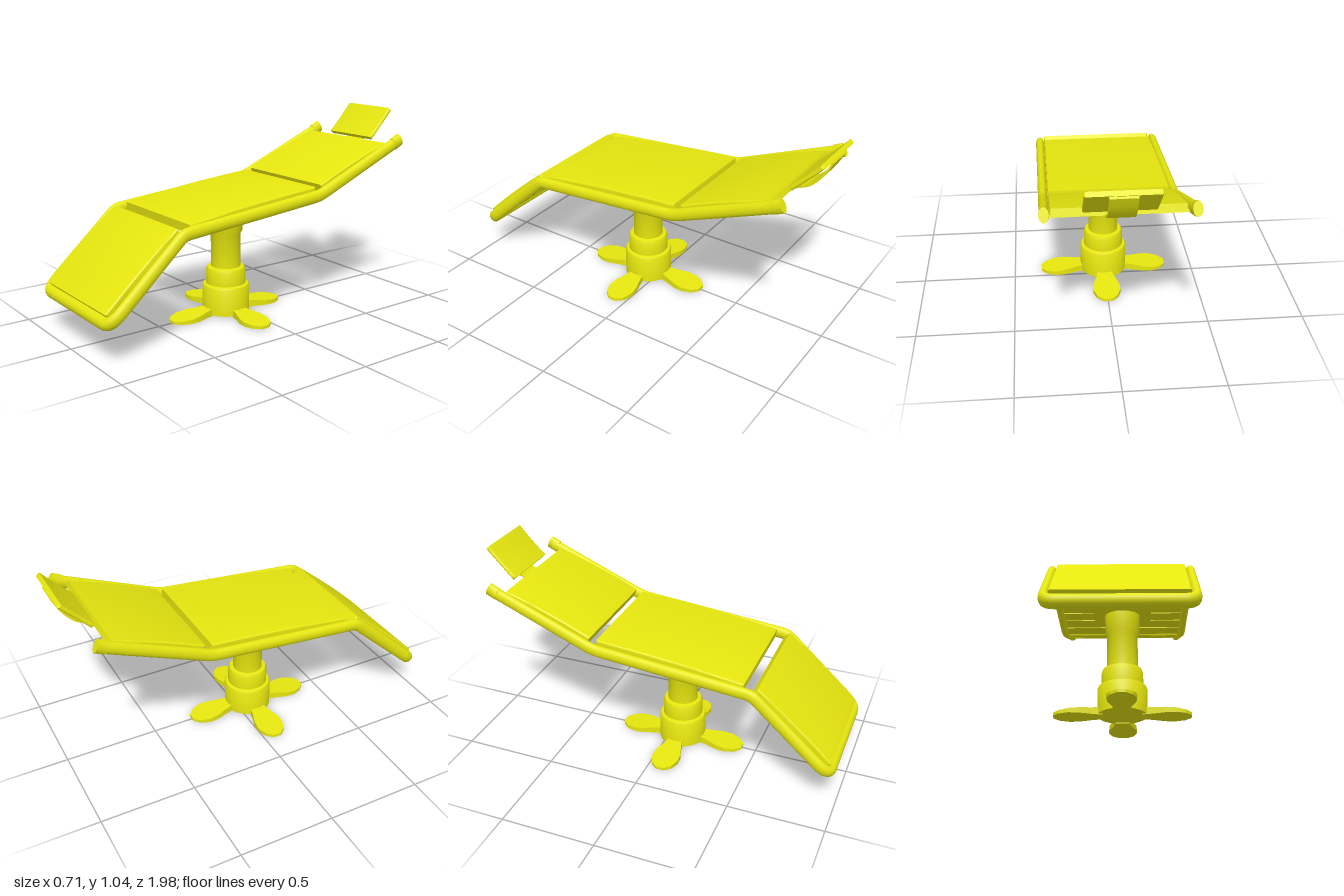
import * as THREE from 'three';
import { toCreasedNormals } from 'three/addons/utils/BufferGeometryUtils.js';

const V = (x, y, z) => new THREE.Vector3(x, y, z);

export function createModel() {
  const model = new THREE.Group();
  const mat = new THREE.MeshStandardMaterial({ color: 0xe6e60f, side: THREE.DoubleSide });
  const add = (name, geo, parent = model) => {
    const mesh = new THREE.Mesh(geo, mat);
    mesh.name = name;
    parent.add(mesh);
    return mesh;
  };

  // Group whose local x runs from a to b (given as [z, y]), local y is the upward normal, local z is sideways
  const slope = (name, a, b) => {
    const along = V(0, b[1] - a[1], b[0] - a[0]).normalize();
    const side = V(1, 0, 0);
    const g = new THREE.Group();
    g.name = name;
    g.applyMatrix4(new THREE.Matrix4().makeBasis(along, V().crossVectors(side, along), side));
    g.position.set(0, a[1], a[0]);
    model.add(g);
    return { g, length: Math.hypot(b[0] - a[0], b[1] - a[1]) };
  };

  // Bowed cushion with softened edges
  const cushion = (from, to, bottom, top0, top1, bow, halfWidth) => {
    const r = 0.009;
    const s = new THREE.Shape();
    s.moveTo(from + r, bottom + r);
    s.lineTo(to - r, bottom + r);
    s.lineTo(to - r, top1 - r);
    s.quadraticCurveTo((from + to) / 2, (top0 + top1) / 2 + 2 * bow - r, from + r, top0 - r);
    const depth = 2 * (halfWidth - r);
    const geo = new THREE.ExtrudeGeometry(s, {
      depth, curveSegments: 12, bevelThickness: r, bevelSize: r, bevelSegments: 4,
    });
    return toCreasedNormals(geo.translate(0, 0, -depth / 2), 0.6);
  };

  // Side rails and foot bar: one bent tube, flattened sideways
  const flat = 0.7, railX = 0.331;
  const foot = [0.955, 0.207], knee = [0.55, 0.572], hip = [-0.3, 0.648], head = [-0.86, 0.878];
  const half = [head, hip, knee, foot].map(([z, y]) => V(railX / flat, y, z));
  const corners = [...half, ...half.map(p => V(-p.x, p.y, p.z)).reverse()];
  const cuts = [0, 0.04, 0.03, 0.08, 0.08, 0.03, 0.04, 0];
  const path = new THREE.CurvePath();
  let last = corners[0];
  for (let i = 1; i < corners.length; i++) {
    const p = corners[i];
    const start = p.clone().add(corners[i - 1].clone().sub(p).setLength(cuts[i]));
    path.add(new THREE.LineCurve3(last, start));
    if (cuts[i]) {
      last = p.clone().add(corners[i + 1].clone().sub(p).setLength(cuts[i]));
      path.add(new THREE.QuadraticBezierCurve3(start, p, last));
    }
  }
  add('railFrame', new THREE.TubeGeometry(path, 260, 0.033, 14)).scale.x = flat;

  // Rail end caps
  const tip = slope('railCaps', [-0.82, 0.862], [-0.885, 0.893]);
  for (const s of [-1, 1]) {
    const cap = new THREE.CylinderGeometry(0.036, 0.036, 0.055, 10).rotateZ(-Math.PI / 2).scale(1, 1, 0.65);
    add('railCap', toCreasedNormals(cap, 0.7).translate(0.042, 0, s * (railX + 0.002)), tip.g);
  }

  // Cushioned sections, each over a row of cross slats
  const sections = [
    { name: 'leg', a: foot, b: knee, from: 0.025, to: 0.548, top0: 0.045, top1: 0.036, bow: 0.006, slats: 7 },
    { name: 'seat', a: knee, b: hip, from: 0.052, to: 0.849, top0: 0.032, top1: 0.044, bow: 0.008, slats: 7 },
    { name: 'back', a: hip, b: head, from: 0.044, to: 0.548, top0: 0.036, top1: 0.022, bow: 0.008, slats: 4 },
  ];
  for (const s of sections) {
    const { g } = slope(s.name + 'Section', s.a, s.b);
    add(s.name + 'Cushion', cushion(s.from, s.to, -0.008, s.top0, s.top1, s.bow, 0.306), g);
    const pitch = (s.to - s.from) / s.slats;
    for (let i = 0; i < s.slats; i++) {
      const slat = add(s.name + 'Slat', new THREE.BoxGeometry(pitch - 0.014, 0.014, 0.624), g);
      slat.position.set(s.from + (i + 0.5) * pitch, -0.013, 0);
    }
  }

  // Headrest cushion
  const rest = slope('headrest', [-0.83, 0.882], [-0.98, 1.037]);
  add('headrestCushion', cushion(0, rest.length, -0.013, 0.011, 0.011, -0.003, 0.167), rest.g);

  // Curved strap joining the back section to the headrest
  const upper = new THREE.SplineCurve([[-0.74, 0.82], [-0.83, 0.852], [-0.89, 0.885], [-0.945, 0.95], [-0.985, 1.025]]
    .map(([z, y]) => new THREE.Vector2(-z, y))).getPoints(20);
  const lower = upper.map(p => new THREE.Vector2(p.x + 0.006, p.y - 0.01)).reverse();
  const strap = new THREE.ExtrudeGeometry(new THREE.Shape([...upper, ...lower]), { depth: 0.125, bevelEnabled: false });
  add('headrestStrap', toCreasedNormals(strap.translate(0, 0, -0.0625).rotateY(Math.PI / 2), 0.6));

  // Pedestal: stepped base, column and upper sleeve
  const pz = 0.072;
  const profile = [[0, 0.005], [0.127, 0.005], [0.127, 0.148], [0.122, 0.158], [0.11, 0.163], [0.107, 0.163],
    [0.107, 0.235], [0.1, 0.252], [0.08, 0.256], [0.08, 0.435], [0.09, 0.455], [0.092, 0.565], [0, 0.565]];
  const turned = new THREE.LatheGeometry(profile.map(p => new THREE.Vector2(...p)), 40);
  add('pedestal', toCreasedNormals(turned, 0.6)).position.z = pz;

  // Mounting plate under the seat
  const mount = slope('mount', [0.22, 0.566], [-0.08, 0.593]);
  add('mountingPlate', new THREE.BoxGeometry(0.3, 0.024, 0.3), mount.g).position.set(0.15, -0.005, 0);

  // Four petal feet, sloping down to thin tips
  const side = [[0.1, 0.035], [0.16, 0.05], [0.22, 0.07], [0.27, 0.074], [0.32, 0.056], [0.35, 0.022]];
  const outline = [...side, ...side.map(([x, y]) => [x, -y]).reverse()].map(p => new THREE.Vector2(...p));
  for (let k = 0; k < 4; k++) {
    const geo = new THREE.ExtrudeGeometry(new THREE.Shape(outline), { depth: 1, bevelEnabled: false });
    geo.rotateX(-Math.PI / 2);
    const pos = geo.attributes.position;
    for (let i = 0; i < pos.count; i++) {
      if (pos.getY(i) > 0.5) pos.setY(i, THREE.MathUtils.mapLinear(pos.getX(i), 0.1, 0.35, 0.04, 0.015));
    }
    geo.computeVertexNormals();
    const petal = add('foot', toCreasedNormals(geo, 0.5));
    petal.rotation.y = k * Math.PI / 2;
    petal.position.z = pz;
  }

  return model;
}
